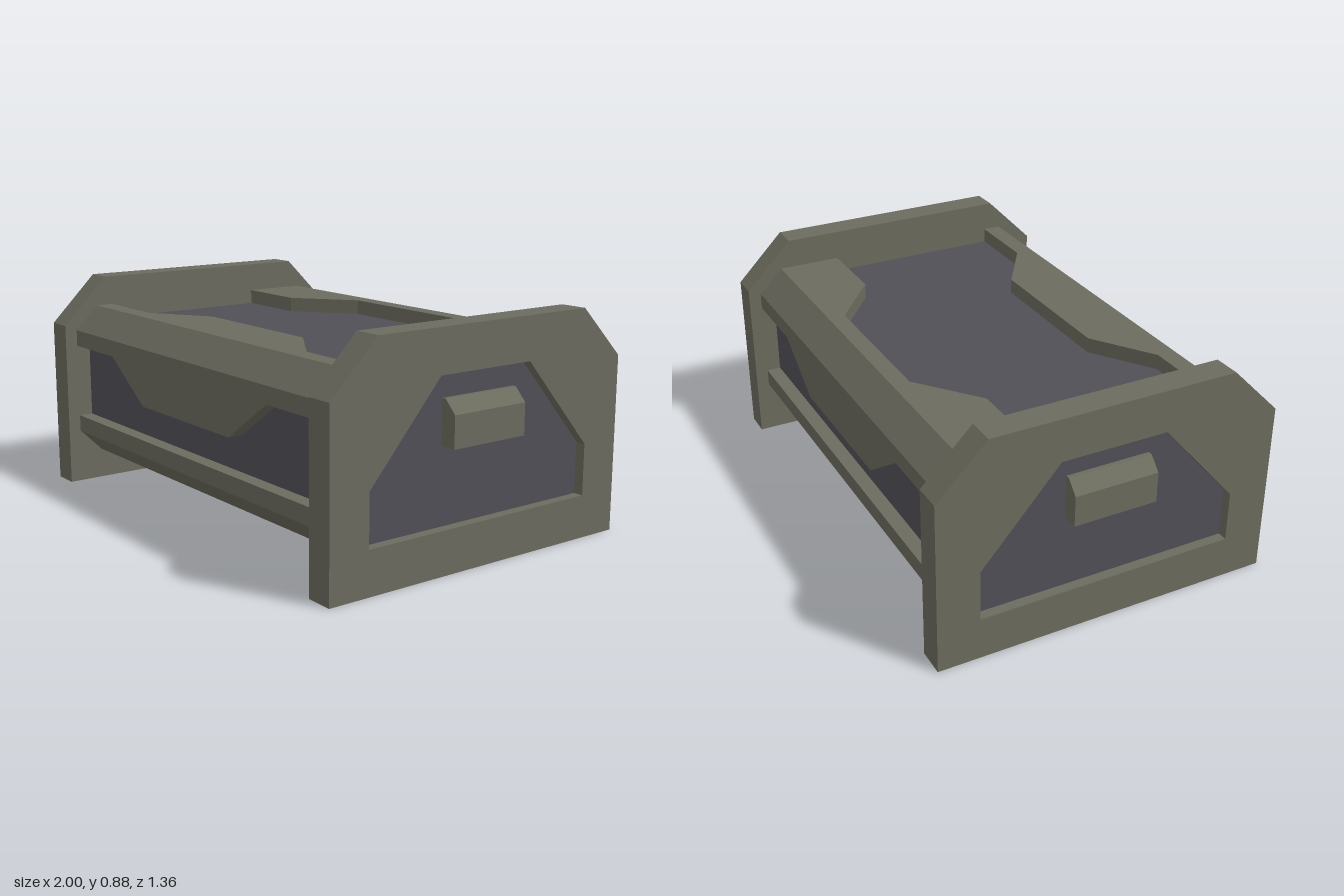
import * as THREE from 'three';

const frameMat = new THREE.MeshStandardMaterial({ color: 0x6b6b5e, flatShading: true });
const panelMat = new THREE.MeshStandardMaterial({ color: 0x514f57, flatShading: true });
const INNER = 0.865, OUTER = 0.975, RECESS = 0.935;

function add(parent, name, geometry, material) {
  const mesh = new THREE.Mesh(geometry, material);
  mesh.name = name;
  parent.add(mesh);
  return mesh;
}

// Mirrored outline from its right half, listed from bottom to top
function outline(half) {
  const left = half.map(([x, y]) => [-x, y]).reverse();
  return [...half, ...left].map(([x, y]) => new THREE.Vector2(x, y));
}

// Prism of a shape between two depths along z
function prism(shape, from, to) {
  return new THREE.ExtrudeGeometry(shape, { depth: to - from, bevelEnabled: false })
    .translate(0, 0, from);
}

// Armoured upper edge: an L section swept along x whose two flanges change width
function edgeGuard(topEnd, topMid, lowEnd, lowMid) {
  const stations = [
    [-INNER, 0], [-0.55, 0], [-0.31, 1], [0.31, 1], [0.55, 0], [INNER, 0],
  ];
  const rings = stations.map(([x, t]) => {
    const top = THREE.MathUtils.lerp(topEnd, topMid, t);
    const low = THREE.MathUtils.lerp(lowEnd, lowMid, t);
    return [
      [top, 0.76], [0.528, 0.76], [0.628, 0.662], [0.628, low],
      [0.57, low], [0.57, 0.7], [top, 0.7],
    ].map(([z, y]) => [x, y, z]);
  });
  const pos = [];
  for (let s = 0; s < rings.length - 1; s++) {
    const a = rings[s], b = rings[s + 1];
    for (let i = 0; i < a.length; i++) {
      const j = (i + 1) % a.length;
      pos.push(...a[i], ...a[j], ...b[j], ...a[i], ...b[j], ...b[i]);
    }
  }
  const g = new THREE.BufferGeometry();
  g.setAttribute('position', new THREE.Float32BufferAttribute(pos, 3));
  g.computeVertexNormals();
  return g;
}

// End wall with a recessed panel and a handle; local z points outwards
function createEnd(name) {
  const end = new THREE.Group();
  end.name = name;
  const wall = outline([[0.68, 0], [0.68, 0.685], [0.485, 0.88]]);
  const recess = outline([[0.515, 0.167], [0.515, 0.367], [0.21, 0.715]]);

  const rim = new THREE.Shape(wall);
  rim.holes.push(new THREE.Path(recess));
  add(end, 'endWall', prism(new THREE.Shape(wall), INNER, 0.925), frameMat);
  add(end, 'endRim', prism(rim, 0.925, OUTER), frameMat);
  add(end, 'endPanel', prism(new THREE.Shape(recess), 0.925, RECESS), panelMat);

  const grip = new THREE.Shape([
    [0.93, 0.457], [1, 0.457], [1, 0.577], [0.952, 0.626], [0.93, 0.626],
  ].map(([x, y]) => new THREE.Vector2(x, y)));
  add(end, 'handle', prism(grip, -0.167, 0.167).rotateY(-Math.PI / 2), frameMat);
  return end;
}

export function createModel() {
  const crate = new THREE.Group();
  crate.name = 'crate';

  // Dark inner body
  add(crate, 'innerBody',
    new THREE.BoxGeometry(2 * INNER, 0.45, 1.14).translate(0, 0.475, 0), panelMat);

  // Base tray with sloped lower sides
  const base = new THREE.Shape(outline([[0.53, 0.125], [0.628, 0.222], [0.628, 0.29]]));
  add(crate, 'base', prism(base, -INNER, INNER).rotateY(Math.PI / 2), frameMat);

  // Upper edge guards: wide in the middle at the front, wide at the ends at the back
  add(crate, 'frontGuard', edgeGuard(0.455, 0.295, 0.595, 0.43), frameMat);
  add(crate, 'backGuard', edgeGuard(0.27, 0.46, 0.595, 0.43), frameMat).rotation.y = Math.PI;

  // End walls
  for (const [name, side] of [['leftEnd', 1], ['rightEnd', -1]]) {
    const end = createEnd(name);
    end.rotation.y = side * Math.PI / 2;
    crate.add(end);
  }
  return crate;
}
